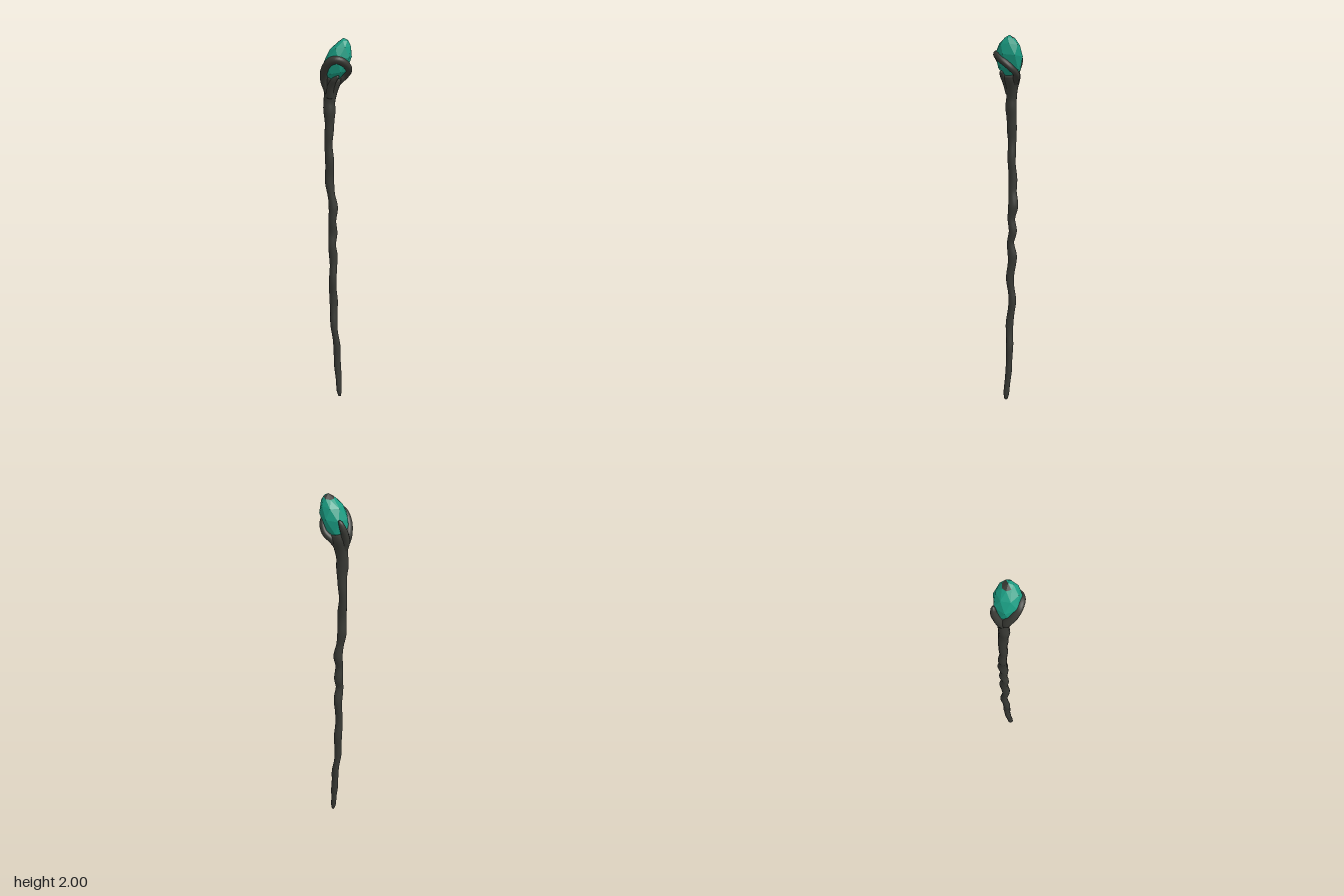
import * as THREE from 'three';

const wood = new THREE.MeshStandardMaterial({ color: 0x393a35 });
wood.name = 'dark wood';
const crystal = new THREE.MeshStandardMaterial({ color: 0x1a9c82 });
crystal.name = 'green crystal';

// Gnarled limb: each point is [x, y, z, radius]; rings follow a smooth curve
function limb(name, points, segments, sides, knots = 0, flatten = 1) {
  const curve = new THREE.CatmullRomCurve3(points.map(p => new THREE.Vector3(p[0], p[1], p[2])), false, 'centripetal');
  const frames = curve.computeFrenetFrames(segments, false);
  const pos = [], index = [];
  const v = new THREE.Vector3();
  for (let i = 0; i <= segments; i++) {
    const u = i / segments;
    const t = curve.getUtoTmapping(u);
    const f = t * (points.length - 1);
    const k = Math.min(Math.floor(f), points.length - 2);
    const r = THREE.MathUtils.lerp(points[k][3], points[k + 1][3], f - k);
    const c = curve.getPointAt(u);
    for (let j = 0; j < sides; j++) {
      const a = j / sides * Math.PI * 2;
      const bump = 1 + knots * (Math.sin(2 * a + c.y * 17) * 0.6 + Math.sin(a - c.y * 31) * 0.5 + Math.sin(c.y * 47) * 0.4);
      v.copy(c)
        .addScaledVector(frames.normals[i], Math.cos(a) * r * bump)
        .addScaledVector(frames.binormals[i], Math.sin(a) * r * bump * flatten);
      pos.push(v.x, v.y, v.z);
      if (i < segments) {
        const b = i * sides + j, n = i * sides + (j + 1) % sides;
        index.push(b, n, b + sides, n, n + sides, b + sides);
      }
    }
  }
  // Close both ends
  for (const [u, ring] of [[0, 0], [1, segments]]) {
    const c = curve.getPointAt(u), centre = pos.length / 3;
    pos.push(c.x, c.y, c.z);
    for (let j = 0; j < sides; j++) {
      const b = ring * sides + j, n = ring * sides + (j + 1) % sides;
      if (ring) index.push(centre, b, n); else index.push(centre, n, b);
    }
  }
  const geo = new THREE.BufferGeometry();
  geo.setAttribute('position', new THREE.Float32BufferAttribute(pos, 3));
  geo.setIndex(index);
  geo.computeVertexNormals();
  const mesh = new THREE.Mesh(geo, wood);
  mesh.name = name;
  return mesh;
}

// Faceted stone from tilted rings [x, y, z, radius]; every second ring is turned half a facet
function gem() {
  const sides = 7;
  const rings = [
    [-0.012, 1.775, 0, 0.015], [-0.002, 1.825, 0, 0.058], [0.011, 1.895, -0.006, 0.071],
    [0.02, 1.95, -0.013, 0.054], [0.03, 1.983, -0.022, 0.027]
  ];
  const point = (i, j) => {
    const [x, y, z, r] = rings[i];
    const a = (j + (i % 2) * 0.5) / sides * Math.PI * 2;
    return [x + Math.cos(a) * r, y + Math.cos(a) * r * 0.2, z - Math.sin(a) * r];
  };
  const pos = [], cap = [];
  const apex = [0.034, 2.0, -0.021];
  for (let j = 0; j < sides; j++) {
    for (let i = 0; i < rings.length - 1; i++) {
      const s = i % 2;
      const a = point(i, j), b = point(i, j + 1), c = point(i + 1, j), d = point(i + 1, j + 1);
      if (s) pos.push(...a, ...b, ...d, ...a, ...d, ...c);
      else pos.push(...a, ...b, ...c, ...b, ...d, ...c);
    }
    // The rear facets of the tip are dark
    (j >= 1 && j <= 4 ? cap : pos).push(...point(4, j), ...point(4, j + 1), ...apex);
    pos.push(...point(0, j + 1), ...point(0, j), -0.012, 1.77, 0);
  }
  const group = new THREE.Group();
  group.name = 'gem';
  for (const [name, data, mat] of [['gemFacets', pos, crystal], ['gemDarkTip', cap, wood]]) {
    const geo = new THREE.BufferGeometry();
    geo.setAttribute('position', new THREE.Float32BufferAttribute(data, 3));
    geo.computeVertexNormals();
    const mesh = new THREE.Mesh(geo, mat);
    mesh.name = name;
    group.add(mesh);
  }
  return group;
}

export function createModel() {
  const group = new THREE.Group();
  group.name = 'staff';

  // Crooked shaft, thickening towards the head
  group.add(limb('shaft', [
    [0.033, 0, 0.003, 0.008], [0.029, 0.03, 0.002, 0.014], [0.012, 0.18, -0.004, 0.018],
    [0.004, 0.3, -0.006, 0.019], [-0.008, 0.42, 0.002, 0.019], [-0.02, 0.57, -0.008, 0.021],
    [-0.017, 0.7, 0.003, 0.02], [-0.02, 0.82, -0.009, 0.023], [-0.022, 0.9, 0.002, 0.02],
    [-0.025, 0.96, -0.008, 0.022], [-0.022, 1.03, -0.002, 0.021], [-0.025, 1.1, -0.012, 0.025],
    [-0.032, 1.18, -0.003, 0.021], [-0.041, 1.26, -0.001, 0.023], [-0.036, 1.35, 0.005, 0.022],
    [-0.042, 1.46, 0.004, 0.022], [-0.037, 1.55, 0.005, 0.025], [-0.033, 1.62, 0.007, 0.029],
    [-0.036, 1.67, 0.004, 0.028], [-0.032, 1.73, 0, 0.034], [-0.024, 1.78, -0.002, 0.043],
    [-0.016, 1.805, -0.002, 0.043]
  ], 180, 14, 0.09));

  // Band sweeping up over the front of the gem and down its right side to the back
  group.add(limb('wrappingBranch', [
    [-0.036, 1.72, 0.012, 0.02], [-0.045, 1.79, 0.03, 0.023], [-0.025, 1.845, 0.052, 0.022],
    [0.012, 1.89, 0.058, 0.02], [0.048, 1.9, 0.042, 0.02], [0.066, 1.88, 0.008, 0.019],
    [0.057, 1.845, -0.034, 0.018], [0.025, 1.81, -0.052, 0.017], [-0.008, 1.775, -0.034, 0.018],
    [-0.028, 1.73, -0.01, 0.016]
  ], 64, 12, 0.06));

  // Prong gripping the left side, curling back at its tip
  group.add(limb('sideProng', [
    [-0.04, 1.71, 0.004, 0.021], [-0.056, 1.77, 0.006, 0.023], [-0.065, 1.815, -0.008, 0.02],
    [-0.068, 1.85, -0.023, 0.017], [-0.062, 1.88, -0.032, 0.012], [-0.055, 1.893, -0.036, 0.005]
  ], 32, 12, 0.06));

  // Low root between the prong and the band
  group.add(limb('frontRoot', [
    [-0.028, 1.7, 0.014, 0.02], [-0.012, 1.755, 0.024, 0.018], [0.016, 1.795, 0.03, 0.014],
    [0.04, 1.815, 0.026, 0.007]
  ], 24, 10, 0.06));

  group.add(gem());
  return group;
}
